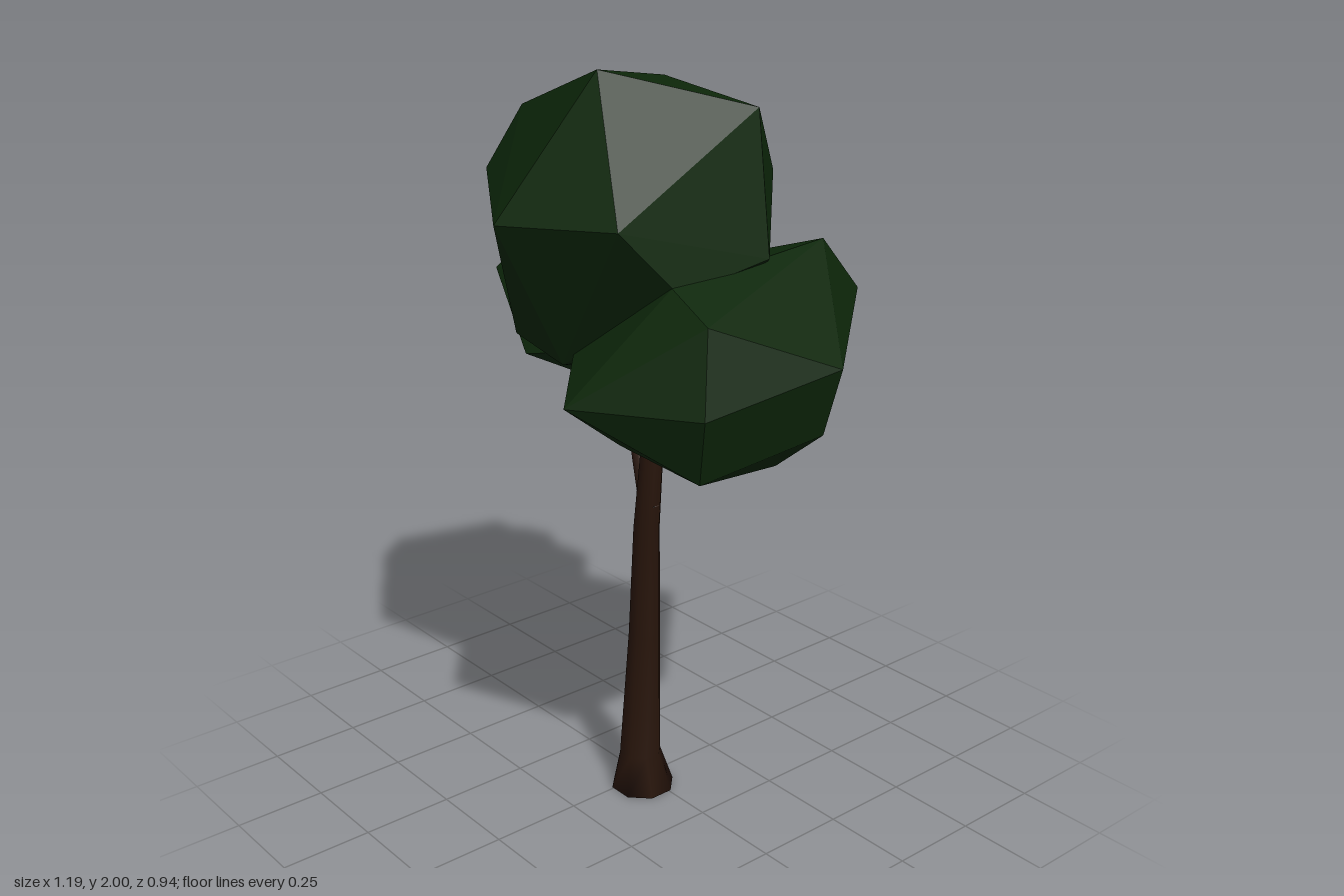
import * as THREE from 'three';
import { ConvexGeometry } from 'three/addons/geometries/ConvexGeometry.js';

const SIDES = 8;
const bark = new THREE.MeshStandardMaterial({ color: 0x28150b });
const leaf = new THREE.MeshStandardMaterial({ color: 0x0d270a, flatShading: true });

// Lofts a closed limb through rings given as [x, y, z, radius].
function limb(name, rings) {
  const pos = [], index = [];
  for (const [x, y, z, r] of rings) {
    for (let i = 0; i < SIDES; i++) {
      const a = ((i + 0.5) / SIDES) * Math.PI * 2;
      pos.push(x + r * Math.sin(a), y, z + r * Math.cos(a));
    }
  }
  for (let k = 0; k < rings.length - 1; k++) {
    for (let i = 0; i < SIDES; i++) {
      const j = (i + 1) % SIDES;
      const a = k * SIDES + i, b = k * SIDES + j;
      index.push(a, b, b + SIDES, a, b + SIDES, a + SIDES);
    }
  }
  // end caps
  const top = (rings.length - 1) * SIDES;
  for (let i = 1; i < SIDES - 1; i++) {
    index.push(0, i + 1, i, top, top + i, top + i + 1);
  }
  const g = new THREE.BufferGeometry();
  g.setAttribute('position', new THREE.Float32BufferAttribute(pos, 3));
  g.setIndex(index);
  g.computeVertexNormals();
  const mesh = new THREE.Mesh(g, bark);
  mesh.name = name;
  return mesh;
}

// Faceted leaf mass: convex hull of a few corner points.
function foliage(name, corners) {
  const g = new ConvexGeometry(corners.map((c) => new THREE.Vector3(...c)));
  const mesh = new THREE.Mesh(g, leaf);
  mesh.name = name;
  return mesh;
}

export function createModel() {
  const tree = new THREE.Group();
  tree.name = 'tree';

  // Trunk with flared foot and a slight lean
  tree.add(limb('trunk', [
    [0.028, 0, 0.028, 0.088],
    [0.028, 0.11, 0.037, 0.058],
    [0.036, 0.48, 0.028, 0.044],
    [0.064, 0.8, 0.044, 0.036],
    [0.092, 1.02, 0.05, 0.031],
    [0.1, 1.35, 0.05, 0.027],
  ]));

  // Side branch reaching into the right-hand leaf mass
  tree.add(limb('branch', [
    [0.078, 0.87, 0.045, 0.03],
    [-0.03, 1.04, -0.01, 0.032],
    [-0.18, 1.25, -0.09, 0.026],
  ]));

  tree.add(foliage('topFoliage', [
    [0.09, 2, 0.215], [0.27, 1.9, -0.13], [-0.2, 1.91, -0.235],
    [-0.34, 1.855, 0.12], [-0.37, 1.7, 0.215], [0.02, 1.66, 0.468],
    [0.325, 1.68, 0.345], [0.37, 1.56, -0.08], [0.37, 1.52, 0.2],
    [0.08, 1.69, -0.365], [-0.34, 1.62, -0.21], [-0.35, 1.44, 0.12],
    [-0.18, 1.315, 0.27], [0.04, 1.29, 0.29], [0.2, 1.33, 0.12],
    [-0.1, 1.215, -0.04], [0, 1.21, -0.04], [0.06, 1.32, -0.24],
  ]));

  tree.add(foliage('leftFoliage', [
    [0.365, 1.54, 0.22], [0.5, 1.48, 0.23], [0.335, 1.57, -0.295],
    [0.595, 1.335, -0.11], [0.55, 1.28, 0.28], [0.23, 1.26, 0.433],
    [0.295, 1.405, -0.47], [0.16, 1.5, -0.29], [0.53, 1.15, -0.12],
    [0.49, 1.1, 0.24], [0.37, 1.022, -0.12], [0.1, 1.065, 0.16],
    [0.2, 1.125, -0.26], [-0.04, 1.22, 0.1], [0.04, 1.34, 0.25],
    [-0.03, 1.31, -0.31], [0, 1.46, -0.3],
  ]));

  tree.add(foliage('rightFoliage', [
    [-0.53, 1.505, -0.17], [-0.44, 1.535, -0.03], [-0.34, 1.52, -0.2],
    [-0.597, 1.27, -0.04], [-0.55, 1.376, 0.07], [-0.33, 1.195, 0.135],
    [-0.53, 1.35, -0.42], [-0.365, 1.44, -0.435], [-0.225, 1.155, -0.395],
    [-0.17, 1.27, -0.28], [-0.48, 1.09, -0.1], [-0.16, 1.115, -0.03],
    [-0.11, 1.235, 0.04], [-0.22, 1.45, 0.03],
  ]));

  return tree;
}
